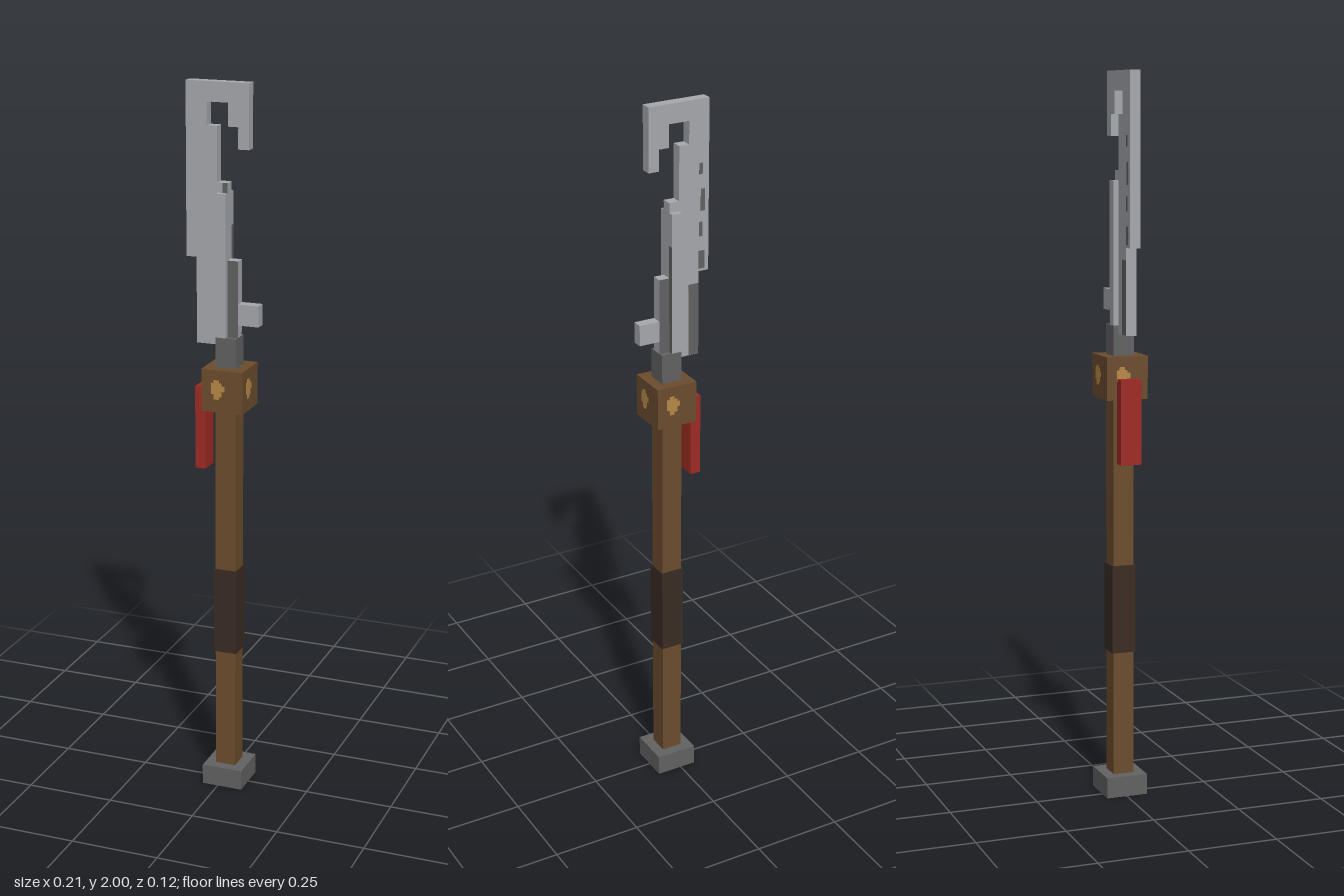
import * as THREE from 'three';

const mat = (name, color) => {
  const m = new THREE.MeshStandardMaterial({ color });
  m.name = name;
  return m;
};

export function createModel() {
  const steel = mat('steel', 0xa6a9ad);
  const iron = mat('dark iron', 0x626262);
  const wood = mat('wood', 0x6c4d2d);
  const leather = mat('dark leather', 0x3a2c23);
  const red = mat('red', 0x9f2b24);
  const gold = mat('gold', 0xb88a48);

  const model = new THREE.Group();
  model.name = 'polearm';

  // Box given by its limits on each axis
  const box = (name, material, x0, x1, y0, y1, z0, z1, parent = model) => {
    const mesh = new THREE.Mesh(new THREE.BoxGeometry(x1 - x0, y1 - y0, z1 - z0), material);
    mesh.position.set((x0 + x1) / 2, (y0 + y1) / 2, (z0 + z1) / 2);
    mesh.name = name;
    parent.add(mesh);
    return mesh;
  };

  // Shaft, with its end showing through the foot
  box('shaft', wood, -0.016, 0.043, 0, 1.125, -0.0295, 0.0295);
  box('foot', iron, -0.045, 0.073, 0.001, 0.059, -0.059, 0.059);
  box('grip', leather, -0.02, 0.047, 0.408, 0.655, -0.034, 0.034);
  box('collar', wood, -0.045, 0.073, 1.12, 1.238, -0.059, 0.059);
  box('redTassel', red, -0.075, -0.045, 0.945, 1.178, -0.0295, 0.0295);

  // Gold emblem plate on each side of the collar
  const emblem = new THREE.Shape([
    [-0.011, -0.027], [0.004, -0.027], [0.004, -0.019], [0.012, -0.019],
    [0.012, -0.004], [0.02, -0.004], [0.02, 0.011], [0.012, 0.011],
    [0.012, 0.019], [0.004, 0.019], [0.004, 0.027], [-0.011, 0.027],
    [-0.011, 0.019], [-0.019, 0.019], [-0.019, -0.012], [-0.011, -0.012],
  ].map(([x, y]) => new THREE.Vector2(x, y)));
  const emblemGeometry = new THREE.ExtrudeGeometry(emblem, { depth: 0.001, bevelEnabled: false });
  for (let i = 0; i < 4; i++) {
    const side = new THREE.Group();
    side.name = 'emblemSide';
    side.position.set(0.014, 1.183, 0);
    side.rotation.y = (i * Math.PI) / 2;
    const plate = new THREE.Mesh(emblemGeometry, gold);
    plate.name = 'emblem';
    plate.position.set(-0.012, 0, 0.059);
    side.add(plate);
    model.add(side);
  }

  // Iron socket and steel spine
  box('socket', iron, -0.016, 0.043, 1.238, 1.32, -0.0295, 0.0295);
  box('spine', steel, -0.016, 0.013, 1.32, 1.71, -0.0295, 0.0295);
  box('spineShade', iron, 0.0125, 0.0138, 1.32, 1.62, -0.0293, -0.0155);
  box('backRib', [steel, steel, steel, steel, iron, iron],
    0.013, 0.043, 1.32, 1.53, -0.0148, 0.0148);
  box('sidePeg', steel, 0.043, 0.102, 1.355, 1.413, -0.0148, 0.0148);

  // Stepped blade with a hooked tip
  const outline = new THREE.Shape([
    [-0.075, 1.297], [-0.016, 1.297], [-0.016, 1.32], [0.013, 1.32],
    [0.013, 1.737], [-0.016, 1.737], [-0.016, 1.885], [-0.045, 1.885],
    [-0.045, 1.947], [0.014, 1.947], [0.014, 1.885], [0.043, 1.885],
    [0.043, 1.827], [0.073, 1.827], [0.073, 2], [-0.104, 2],
    [-0.104, 1.533], [-0.075, 1.533],
  ].map(([x, y]) => new THREE.Vector2(x, y)));
  const bladeGeometry = new THREE.ExtrudeGeometry(outline, { depth: 0.0296, bevelEnabled: false });
  bladeGeometry.translate(0, 0, -0.0148);
  const blade = new THREE.Mesh(bladeGeometry, steel);
  blade.name = 'blade';
  model.add(blade);

  // Dark worn marks on the blade
  box('frontMark', iron, 0, 0.013, 1.71, 1.737, 0.0145, 0.0155);
  const marks = [
    [-0.085, -0.075, 1.8, 1.83], [-0.092, -0.08, 1.7, 1.76],
    [-0.085, -0.075, 1.63, 1.67], [-0.092, -0.075, 1.54, 1.59],
    [-0.075, -0.045, 1.298, 1.5],
  ];
  for (const [x0, x1, y0, y1] of marks) box('backMark', iron, x0, x1, y0, y1, -0.0156, -0.0146);

  return model;
}
